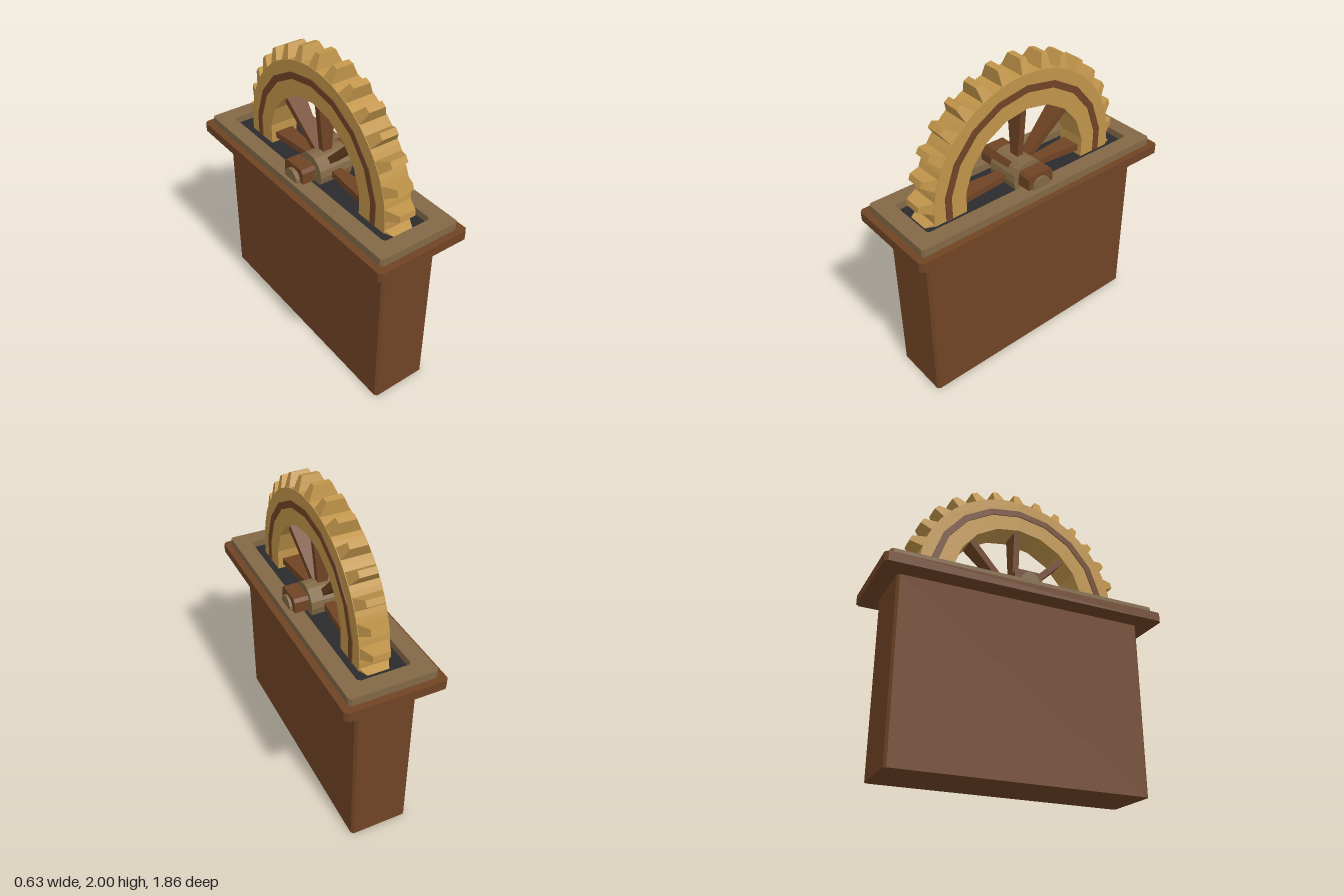
import * as THREE from 'three';

const paint = (name, color) => {
  const m = new THREE.MeshStandardMaterial({ color });
  m.name = name;
  return m;
};

// Rectangle with cut corners
function chamferedRect(Type, w, d, c) {
  const x = w / 2, y = d / 2;
  return new Type([
    [x - c, -y], [x, -y + c], [x, y - c], [x - c, y],
    [-x + c, y], [-x, y - c], [-x, -y + c], [-x + c, -y],
  ].map(([a, b]) => new THREE.Vector2(a, b)));
}

// Regular polygon with one corner pointing up
function polygon(Type, r, sides) {
  const pts = [];
  for (let i = 0; i < sides; i++) {
    const a = Math.PI / 2 + (i / sides) * Math.PI * 2;
    pts.push(new THREE.Vector2(r * Math.cos(a), r * Math.sin(a)));
  }
  return new Type(pts);
}

// Horizontal slab from y0 to y1, with an optional opening
function slab(w, d, c, y0, y1, hole) {
  const shape = chamferedRect(THREE.Shape, w, d, c);
  if (hole) shape.holes.push(hole);
  const g = new THREE.ExtrudeGeometry(shape, { depth: y1 - y0, bevelEnabled: false });
  return g.rotateX(-Math.PI / 2).translate(0, y0, 0);
}

// Flat ring centred on the wheel axis
function ring(rOut, sidesOut, rIn, sidesIn, width) {
  const shape = polygon(THREE.Shape, rOut, sidesOut);
  shape.holes.push(polygon(THREE.Path, rIn, sidesIn));
  const g = new THREE.ExtrudeGeometry(shape, { depth: width, bevelEnabled: false });
  return g.translate(0, 0, -width / 2);
}

// Box from radius r0 to r1 whose outer end has its own size
function taperedBar(r0, r1, w0, d0, w1, d1) {
  const g = new THREE.BoxGeometry(1, r1 - r0, 1).translate(0, (r0 + r1) / 2, 0);
  const p = g.attributes.position;
  for (let i = 0; i < p.count; i++) {
    const outer = p.getY(i) > (r0 + r1) / 2;
    p.setX(i, p.getX(i) * (outer ? w1 : w0));
    p.setZ(i, p.getZ(i) * (outer ? d1 : d0));
  }
  g.computeVertexNormals();
  return g;
}

export function createModel() {
  const wood = paint('wood', 0x704425);
  const brass = paint('brass', 0xc0944a);
  const bronze = paint('bronze', 0x826846);
  const shadowBlack = paint('black', 0x2b2b2d);
  bronze.flatShading = true;

  const model = new THREE.Group();
  model.name = 'gearWheelOnPedestal';
  const add = (parent, name, geometry, material) => {
    const mesh = new THREE.Mesh(geometry, material);
    mesh.name = name;
    parent.add(mesh);
    return mesh;
  };

  // Pedestal
  add(model, 'pedestalBody', slab(0.38, 1.63, 0.015, 0, 1.13), wood);
  add(model, 'pedestalTop', slab(0.63, 1.855, 0.02, 1.13, 1.19), wood);
  add(model, 'framePlate',
    slab(0.545, 1.77, 0.015, 1.19, 1.24, chamferedRect(THREE.Path, 0.33, 1.55, 0.015)), bronze);
  add(model, 'slotFloor', slab(0.33, 1.55, 0.015, 1.19, 1.195), shadowBlack);

  // Wheel, built around local z and turned to face sideways
  const wheel = new THREE.Group();
  wheel.name = 'wheel';
  wheel.position.set(0.005, 1.245, 0.011);
  wheel.rotation.y = Math.PI / 2;
  model.add(wheel);

  add(wheel, 'rim', ring(0.675, 60, 0.457, 18, 0.19), brass);
  add(wheel, 'rimBand', ring(0.605, 18, 0.562, 18, 0.202), wood);

  const tooth = taperedBar(0.665, 0.755, 0.078, 0.19, 0.04, 0.11);
  for (let i = 0; i < 30; i++) {
    add(wheel, 'tooth', tooth, brass).rotation.z = (i / 30) * Math.PI * 2;
  }

  const spoke = taperedBar(0.08, 0.47, 0.042, 0.06, 0.042, 0.13);
  for (let i = 0; i < 8; i++) {
    add(wheel, 'spoke', spoke, wood).rotation.z = (i / 8) * Math.PI * 2;
  }

  // Hub and axle
  add(wheel, 'hub', new THREE.CylinderGeometry(0.115, 0.115, 0.23, 16).rotateX(Math.PI / 2), bronze);
  add(wheel, 'axle', new THREE.CylinderGeometry(0.063, 0.063, 0.49, 16).rotateX(Math.PI / 2), bronze)
    .position.z = -0.01;

  // Bearing blocks on both sides
  const block = new THREE.Shape([
    [-0.095, 0], [0.095, 0], [0.092, 0.07], [0.075, 0.09], [-0.075, 0.09], [-0.092, 0.07],
  ].map(([a, b]) => new THREE.Vector2(a, b)));
  const bearing = new THREE.ExtrudeGeometry(block, { depth: 0.092, bevelEnabled: false })
    .translate(0, 0, -0.046).rotateY(Math.PI / 2);
  for (const side of [-1, 1]) {
    add(model, side > 0 ? 'leftBearing' : 'rightBearing', bearing, wood)
      .position.set(side * 0.178, 1.24, 0.008);
  }

  return model;
}
